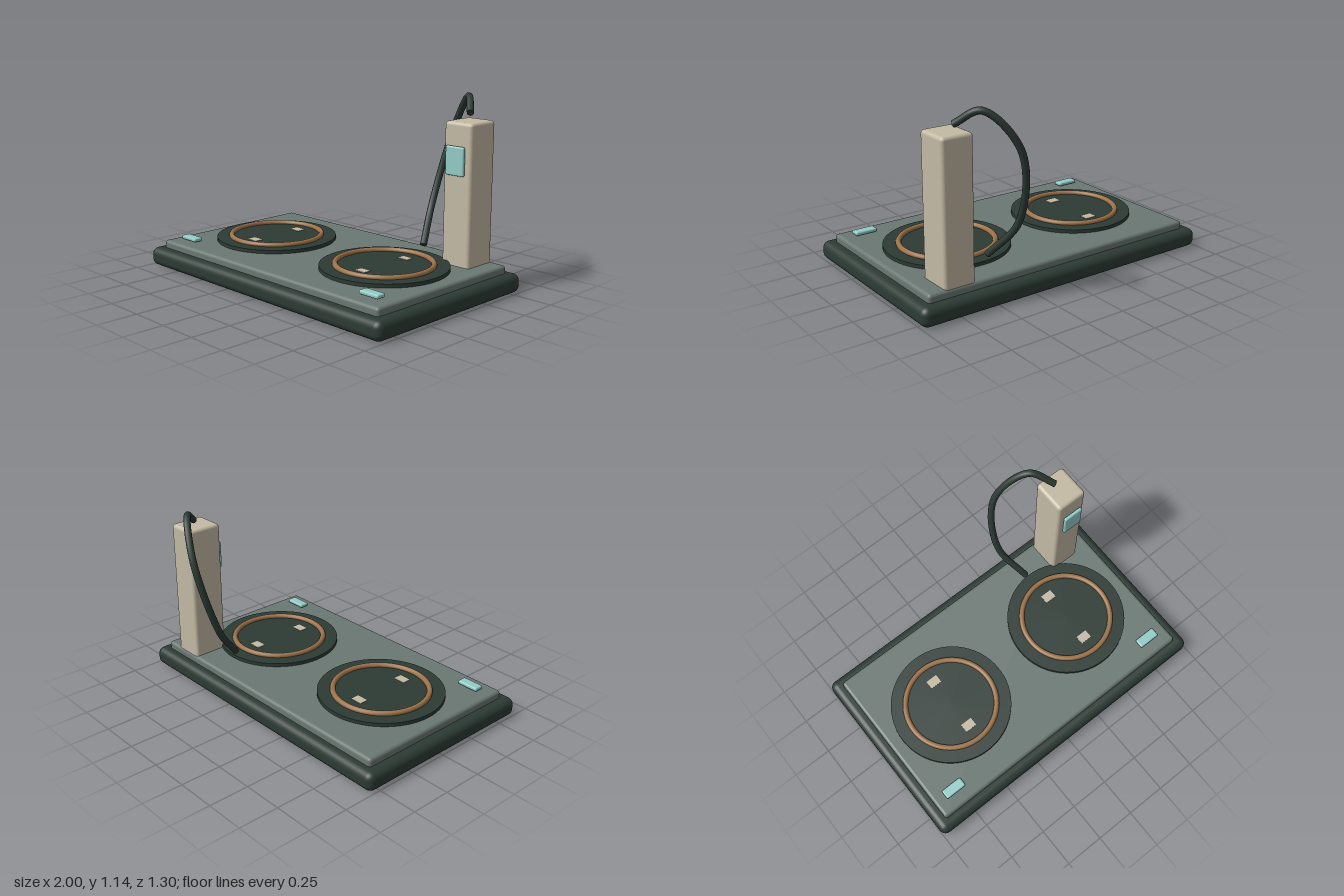
import * as THREE from 'three';
import { RoundedBoxGeometry } from 'three/addons/geometries/RoundedBoxGeometry.js';

export function createModel() {
  const model = new THREE.Group();
  model.name = 'twinChargingStation';

  const mat = (name, color) => {
    const m = new THREE.MeshStandardMaterial({ color });
    m.name = name;
    return m;
  };
  const darkGreen = mat('dark green', 0x2d3b35);
  const slate = mat('slate grey', 0x6b7873);
  const beige = mat('warm beige', 0xc4baa5);
  const copper = mat('copper', 0x9a7149);
  const aqua = mat('pale aqua', 0x94ccc8);

  const add = (name, geometry, material, x, y, z) => {
    const mesh = new THREE.Mesh(geometry, material);
    mesh.name = name;
    mesh.position.set(x, y, z);
    model.add(mesh);
    return mesh;
  };
  // Rounded box given by its minimum and maximum corners
  const block = (name, material, [x0, y0, z0], [x1, y1, z1], radius) =>
    add(name, new RoundedBoxGeometry(x1 - x0, y1 - y0, z1 - z0, 4, radius), material,
      (x0 + x1) / 2, (y0 + y1) / 2, (z0 + z1) / 2);

  // Stepped base
  block('base', darkGreen, [-1, 0, -0.575], [1, 0.116, 0.647], 0.045);
  block('deck', slate, [-0.932, 0.07, -0.512], [0.932, 0.163, 0.582], 0.02);

  // Two round pads with rings, contacts and front indicator keys
  const zc = 0.035;
  for (const [side, s] of [['right', -1], ['left', 1]]) {
    const x = 0.47 * s;
    add(side + 'Pad', new THREE.CylinderGeometry(0.38, 0.38, 0.03, 64), darkGreen, x, 0.17, zc);
    const ring = add(side + 'Ring', new THREE.TorusGeometry(0.287, 0.017, 12, 64), copper, x, 0.192, zc);
    ring.rotation.x = Math.PI / 2;
    for (const dz of [-0.18, 0.18])
      add(side + 'Contact', new THREE.BoxGeometry(0.076, 0.009, 0.056), beige, x, 0.183, zc + dz);
    const kx = 0.785 * s;
    block(side + 'Key', aqua, [kx - 0.07, 0.171, 0.442], [kx + 0.07, 0.195, 0.503], 0.009);
  }

  // Upright tower with its display
  block('tower', beige, [0.628, 0.13, -0.505], [0.827, 1.005, -0.285], 0.022);
  block('display', aqua, [0.661, 0.7, -0.28], [0.792, 0.87, -0.257], 0.01);

  // Cable arching behind the tower down to the pad
  const path = new THREE.CatmullRomCurve3([
    [0.705, 1.043, -0.425], [0.6, 1.122, -0.54], [0.42, 0.9, -0.635],
    [0.355, 0.45, -0.525], [0.44, 0.222, -0.345],
  ].map((p) => new THREE.Vector3(...p)));
  add('cable', new THREE.TubeGeometry(path, 64, 0.021, 12), darkGreen, 0, 0, 0);
  // Small caps closing the cable ends
  for (const [t, dir] of [[0, -1], [1, 1]]) {
    const p = path.getPointAt(t);
    const cap = add('cableEnd', new THREE.CircleGeometry(0.021, 12), darkGreen, p.x, p.y, p.z);
    cap.quaternion.setFromUnitVectors(new THREE.Vector3(0, 0, 1),
      path.getTangentAt(t).multiplyScalar(dir));
  }
  return model;
}
